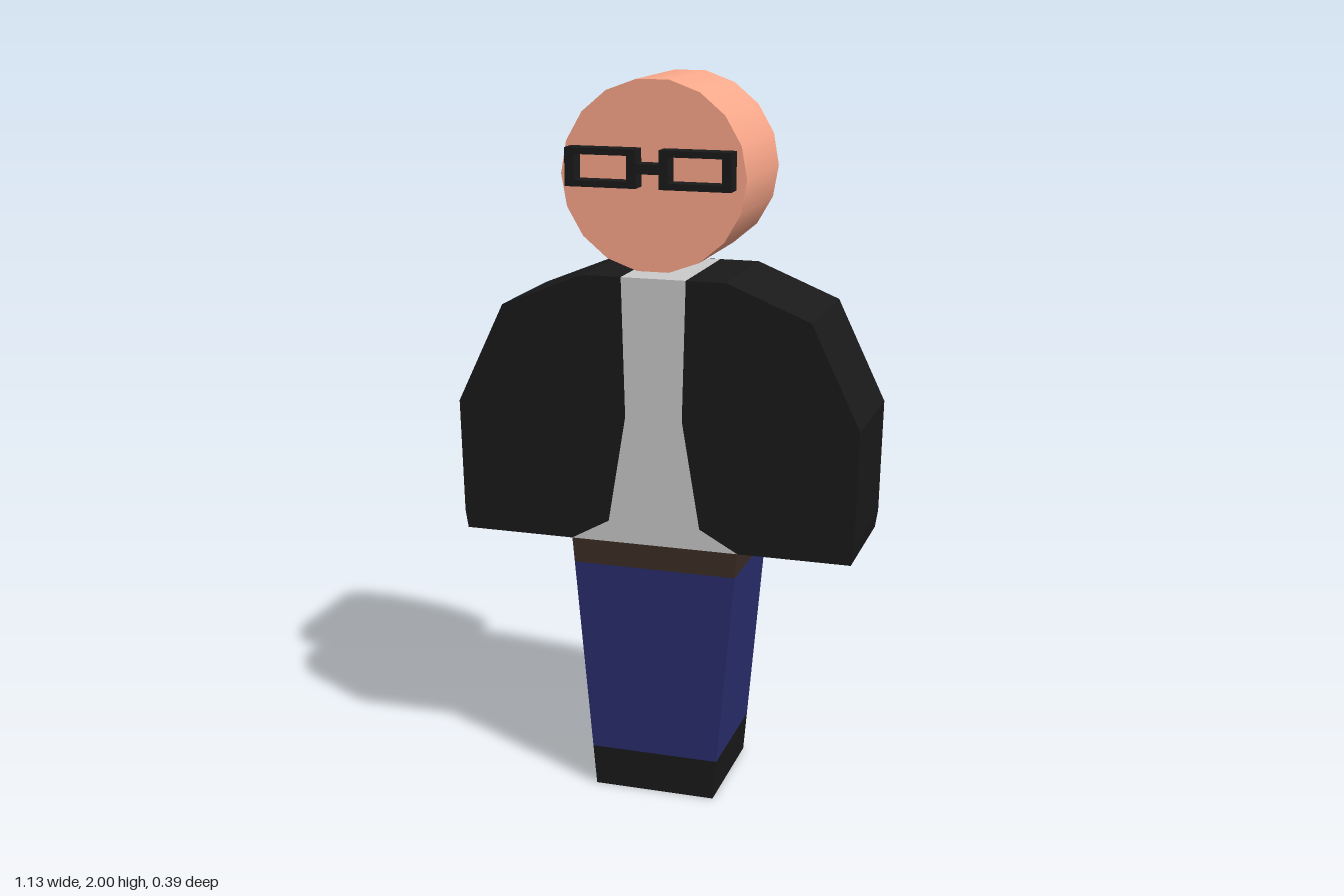
import * as THREE from 'three';

const BACK = -0.195, FRONT = 0.145, DEPTH = FRONT - BACK, PANEL = 0.004;
const mat = (color) => new THREE.MeshStandardMaterial({ color });
const skin = mat(0xffaa8c), black = mat(0x1a1a1a), grey = mat(0xcccccc);
const denim = mat(0x2a2e6e), leather = mat(0x3c2d25);

// Outer jacket outline and the edge of its front opening, for the +x side, top to bottom
const OUTER = [[0.2, 1.483], [0.43, 1.39], [0.565, 1.11], [0.558, 0.79], [0.55, 0.74]];
const OPENING = [[0.09, 1.483], [0.08, 1.1], [0.13, 0.8], [0.238, 0.74]];

const mirror = (pts) => pts.map(([x, y]) => [-x, y]);
const toShape = (pts) => new THREE.Shape(pts.map(([x, y]) => new THREE.Vector2(x, y)));

export function createModel() {
  const model = new THREE.Group();

  const add = (name, geometry, material) => {
    const mesh = new THREE.Mesh(geometry, material);
    mesh.name = name;
    model.add(mesh);
    return mesh;
  };
  const slab = (name, shape, material, z0, z1) => {
    const g = new THREE.ExtrudeGeometry(shape, { depth: z1 - z0, bevelEnabled: false });
    return add(name, g.translate(0, 0, z0), material);
  };

  // Tapered lower body: shoes, trousers, belt
  const halfWidth = (y) => 0.173 + 0.087 * y;
  const band = (name, y0, y1, material) => {
    const a = halfWidth(y0), b = halfWidth(y1);
    slab(name, toShape([[-a, y0], [a, y0], [b, y1], [-b, y1]]), material, BACK, FRONT);
  };
  band('shoes', 0, 0.115, black);
  band('trousers', 0.115, 0.67, denim);
  band('belt', 0.67, 0.74, leather);

  // Shirt fills the jacket opening
  slab('shirt', toShape([...OPENING, ...mirror(OPENING).reverse()]), grey, BACK + PANEL, FRONT);

  // Jacket halves with the hands showing under the sleeves
  for (const [side, s] of [['left', 1], ['right', -1]]) {
    const half = [...OUTER, ...[...OPENING].reverse()];
    slab(side + 'JacketHalf', toShape(s > 0 ? half : mirror(half)), black, BACK + PANEL, FRONT);
    const hand = new THREE.PlaneGeometry(0.312, DEPTH).rotateX(Math.PI / 2);
    add(side + 'Hand', hand, skin).position.set(s * 0.394, 0.7385, (BACK + FRONT) / 2);
  }

  // Unbroken back of the jacket
  slab('jacketBack', toShape([...OUTER, ...mirror(OUTER).reverse()]), black, BACK, BACK + PANEL);

  // Disc-shaped head
  const head = new THREE.CylinderGeometry(0.253, 0.253, DEPTH, 18, 1, false, Math.PI / 2);
  add('head', head.rotateX(Math.PI / 2), skin).position.set(0, 1.751, (BACK + FRONT) / 2);

  // Glasses: two open rims and a bridge
  const rect = (x0, x1, y0, y1) => [[x0, y0], [x1, y0], [x1, y1], [x0, y1]];
  for (const [side, x] of [['left', 0.128], ['right', -0.128]]) {
    const rim = toShape(rect(x - 0.097, x + 0.097, 1.725, 1.826));
    rim.holes.push(toShape(rect(x - 0.072, x + 0.072, 1.742, 1.809)));
    slab(side + 'GlassesRim', rim, black, FRONT, 0.195);
  }
  slab('glassesBridge', toShape(rect(-0.031, 0.031, 1.763, 1.789)), black, FRONT, 0.195);

  return model;
}
